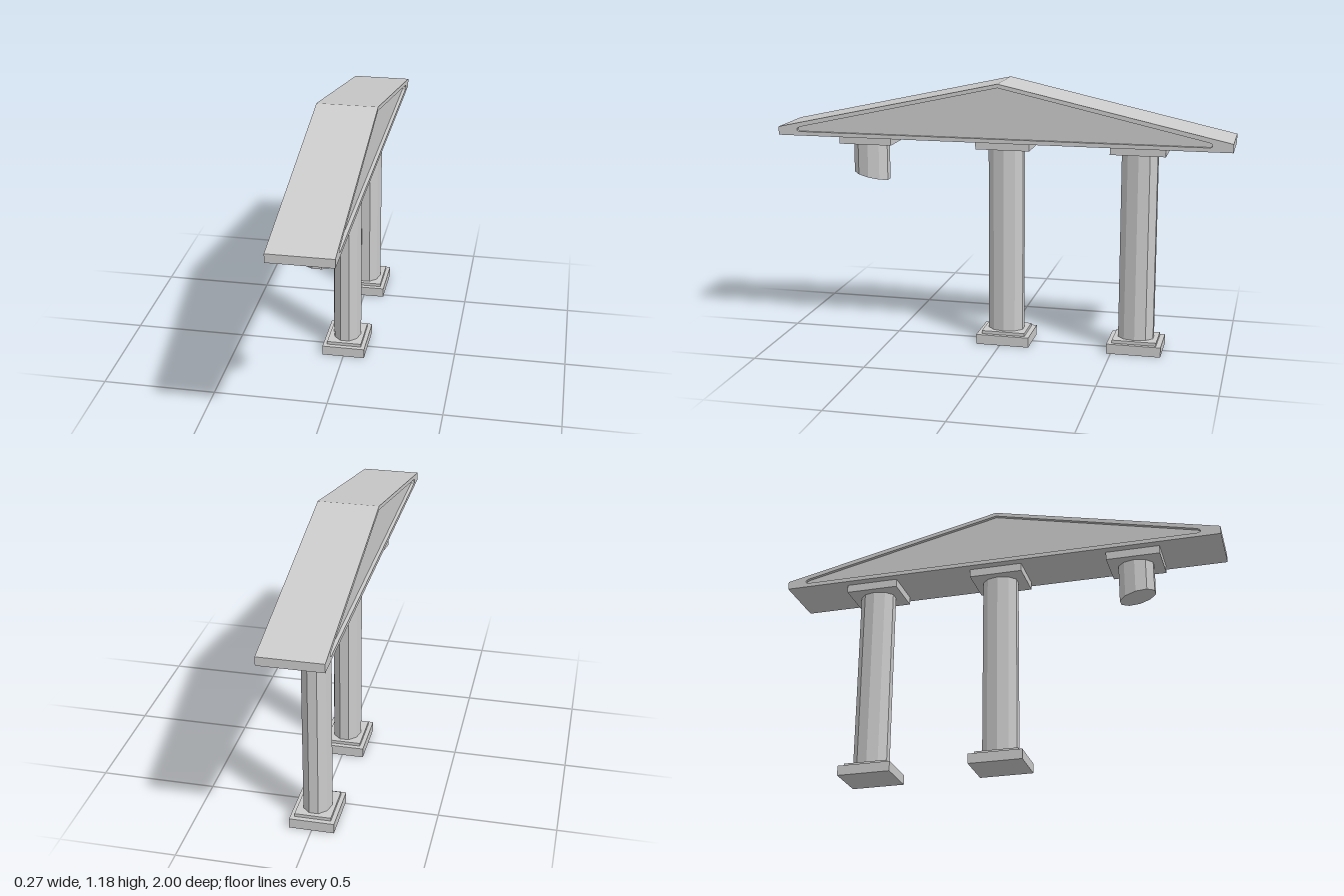
import * as THREE from 'three';

const material = new THREE.MeshStandardMaterial({ color: 0xcccccc, flatShading: true });

function add(parent, name, geometry) {
  const mesh = new THREE.Mesh(geometry, material);
  mesh.name = name;
  parent.add(mesh);
  return mesh;
}

function slab(parent, name, width, depth, bottom, top) {
  add(parent, name, new THREE.BoxGeometry(width, top - bottom, depth)).position.y = (bottom + top) / 2;
}

// Ten-sided shaft, wider along z than along x
function shaftGeometry(bottom, top) {
  return new THREE.CylinderGeometry(1, 1, top - bottom, 10, 1, false, Math.PI / 2)
    .scale(0.0635, 1, 0.0815)
    .translate(0, (bottom + top) / 2, 0);
}

// Extrude a gable profile (z, y) across x
function gable(shape, width) {
  return new THREE.ExtrudeGeometry(shape, { depth: width, bevelEnabled: false })
    .translate(0, 0, -width / 2)
    .rotateY(-Math.PI / 2);
}

const points = (list) => list.map(([a, b]) => new THREE.Vector2(a, b));

export function createModel() {
  const model = new THREE.Group();
  model.name = 'templeColonnade';

  // Roof with a recessed triangular panel on both long sides
  const roof = new THREE.Group();
  roof.name = 'roof';
  model.add(roof);
  const recess = points([
    [-0.905, 0.942], [0.905, 0.942], [0.914, 0.948], [0.912, 0.957], [0.9, 0.963],
    [0, 1.163], [-0.9, 0.963], [-0.912, 0.957], [-0.914, 0.948],
  ]);
  const frame = new THREE.Shape(points([[-1, 0.924], [1, 0.924], [1, 0.961], [0, 1.18], [-1, 0.961]]));
  frame.holes.push(new THREE.Path(recess));
  add(roof, 'roofFrame', gable(frame, 0.266));
  add(roof, 'gablePanel', gable(new THREE.Shape(recess), 0.236));

  // Columns: the front one is broken off below its capital
  const columns = [['frontBrokenColumn', 0.61], ['middleColumn', -0.012], ['backColumn', -0.6]];
  columns.forEach(([name, z], i) => {
    const column = new THREE.Group();
    column.name = name;
    column.position.z = z;
    model.add(column);
    slab(column, 'capital', 0.192, 0.238, 0.888, 0.924);

    if (i === 0) {
      // Slant the lower end of the stump
      const stump = shaftGeometry(0.733, 0.888);
      const p = stump.attributes.position;
      for (let k = 0; k < p.count; k++) {
        if (p.getY(k) < 0.8) p.setY(k, 0.733 + 0.21 * p.getZ(k));
      }
      stump.computeVertexNormals();
      add(column, 'brokenShaft', stump);
    } else {
      add(column, 'shaft', shaftGeometry(0.058, 0.888));
      slab(column, 'baseStep', 0.156, 0.195, 0.044, 0.058);
      slab(column, 'basePlinth', 0.192, 0.238, 0, 0.044);
    }
  });

  return model;
}
